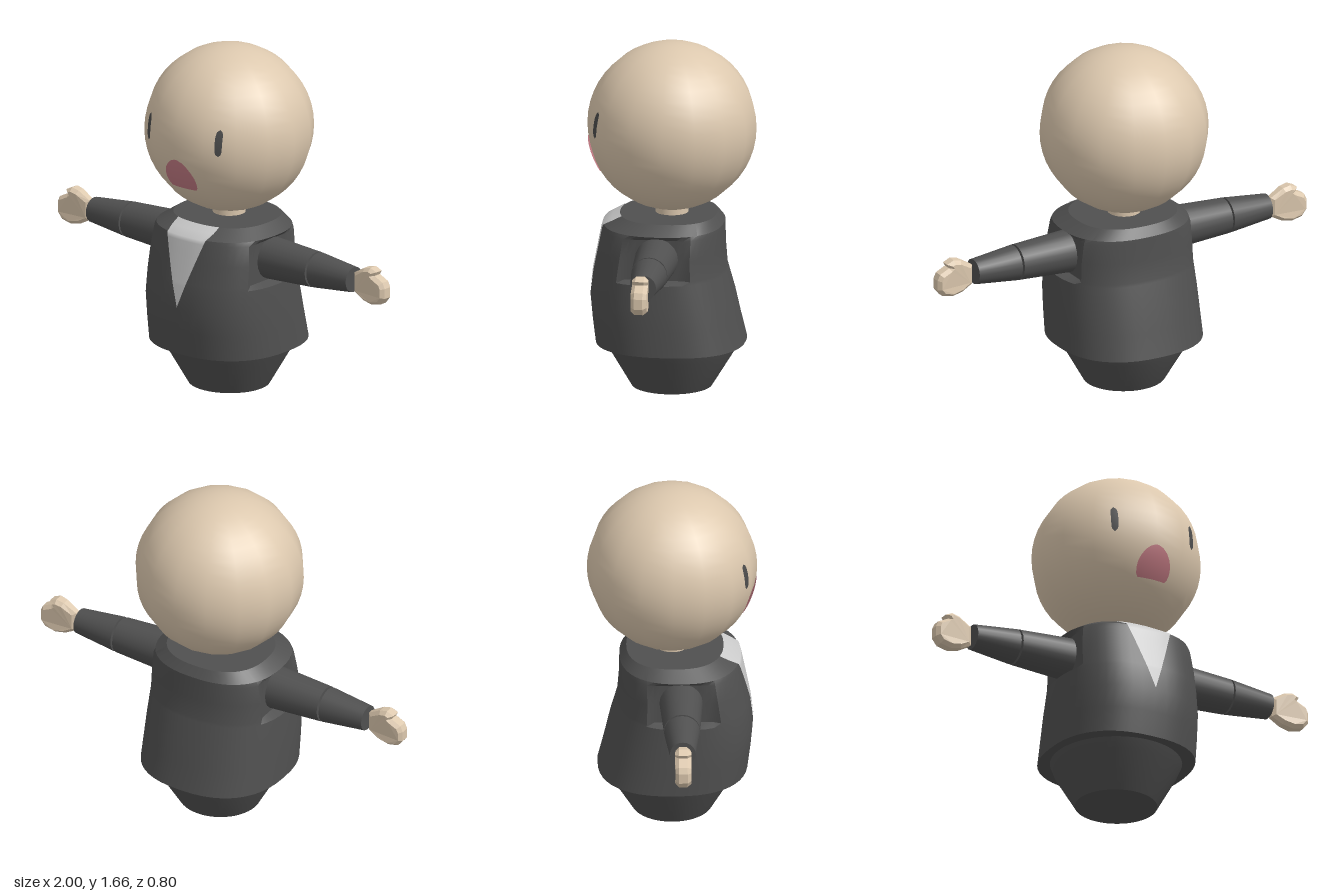
import * as THREE from 'three';
import { toCreasedNormals } from 'three/addons/utils/BufferGeometryUtils.js';

const mat = (name, color, side = THREE.FrontSide) => {
  const m = new THREE.MeshStandardMaterial({ color, side });
  m.name = name;
  return m;
};

// Jacket cross-sections: y, half width, front z, back z
const JACKET = [
  [0.22, 0.355, 0.355, -0.35], [0.34, 0.353, 0.37, -0.32], [0.45, 0.35, 0.38, -0.295],
  [0.565, 0.343, 0.365, -0.262], [0.58, 0.342, 0.362, -0.258], [0.68, 0.337, 0.342, -0.25],
  [0.775, 0.325, 0.323, -0.248], [0.795, 0.315, 0.318, -0.247], [0.84, 0.25, 0.24, -0.215],
];
const TROUSERS = [
  [0, 0.195, 0.19, -0.19], [0.17, 0.29, 0.29, -0.295], [0.23, 0.315, 0.315, -0.315],
];
const POWER = 2.4; // slightly boxy ovals

function sectionAt(y) {
  let i = 0;
  while (i < JACKET.length - 2 && y > JACKET[i + 1][0]) i++;
  const a = JACKET[i], b = JACKET[i + 1];
  const t = (y - a[0]) / (b[0] - a[0]);
  return a.map((v, k) => v + (b[k] - v) * t);
}

// Closed body through oval cross-sections; adjust() may move each point
function loft(rows, power, adjust = () => {}) {
  const n = 48, pos = [], index = [];
  const e = 2 / power;
  for (const [y, rx, zf, zb] of rows) {
    for (let j = 0; j < n; j++) {
      const a = (j / n) * Math.PI * 2, c = Math.cos(a), s = Math.sin(a);
      const p = new THREE.Vector3(
        rx * Math.sign(c) * Math.abs(c) ** e, y,
        (zf + zb) / 2 + ((zf - zb) / 2) * Math.sign(s) * Math.abs(s) ** e);
      adjust(p);
      pos.push(p.x, p.y, p.z);
    }
  }
  for (let i = 0; i < rows.length - 1; i++) {
    for (let j = 0; j < n; j++) {
      const a = i * n + j, b = i * n + (j + 1) % n;
      index.push(a, a + n, b, b, a + n, b + n);
    }
  }
  // End caps
  const low = pos.length / 3, high = low + 1, top = (rows.length - 1) * n;
  pos.push(0, rows[0][0], 0, 0, rows[rows.length - 1][0], 0);
  for (let j = 0; j < n; j++) {
    const k = (j + 1) % n;
    index.push(low, j, k, high, top + k, top + j);
  }
  const g = new THREE.BufferGeometry();
  g.setAttribute('position', new THREE.Float32BufferAttribute(pos, 3));
  g.setIndex(index);
  return toCreasedNormals(g, 0.5);
}

// Thin painted patch: outline rows [y, half width] laid over surface z(x, y)
function patch(rows, cx, surface) {
  const n = 10, pos = [], index = [];
  rows.forEach(([y, w], i) => {
    for (let j = 0; j <= n; j++) {
      const x = cx + w * (2 * j / n - 1);
      pos.push(x, y, surface(x, y));
      if (i && j) {
        const d = i * (n + 1) + j, b = d - n - 1;
        index.push(b - 1, b, d, b - 1, d, d - 1);
      }
    }
  });
  const g = new THREE.BufferGeometry();
  g.setAttribute('position', new THREE.Float32BufferAttribute(pos, 3));
  g.setIndex(index);
  g.computeVertexNormals();
  return g;
}

export function createModel() {
  const skin = mat('skin', 0xdcc8ae);
  const cloth = mat('dark cloth', 0x505050);
  const shirtMat = mat('shirt', 0xcacaca, THREE.DoubleSide);
  const eyeMat = mat('eye', 0x4c4c4c, THREE.DoubleSide);
  const mouthMat = mat('mouth', 0xc47b84, THREE.DoubleSide);

  const model = new THREE.Group();
  model.name = 'figure';
  const add = (parent, name, geometry, material) => {
    const m = new THREE.Mesh(geometry, material);
    m.name = name;
    parent.add(m);
    return m;
  };

  // Lower body and jacket, flattened into sockets where the arms enter
  add(model, 'trousers', loft(TROUSERS, 2), cloth);
  add(model, 'jacket', loft(JACKET, POWER, p => {
    if (p.y > 0.57 && p.y < 0.79 && p.z > -0.11 && p.z < 0.2) {
      p.x = THREE.MathUtils.clamp(p.x, -0.29, 0.29);
    }
  }), cloth);

  // Shirt front: a V lying on the jacket
  const shirtRows = [0.46, 0.5, 0.565, 0.58, 0.63, 0.68, 0.73, 0.775, 0.795, 0.82, 0.842]
    .map(y => [y, 0.125 * Math.min(1, (y - 0.46) / 0.36)]);
  add(model, 'shirt', patch(shirtRows, 0, (x, y) => {
    const [, rx, zf, zb] = sectionAt(y);
    const k = (1 - Math.abs(x / rx) ** POWER) ** (1 / POWER);
    return (zf + zb) / 2 + ((zf - zb) / 2) * k + 0.005;
  }), shirtMat);

  // Neck and head
  add(model, 'neck', new THREE.CylinderGeometry(0.078, 0.078, 0.09, 24), skin)
    .position.y = 0.865;
  add(model, 'head', new THREE.SphereGeometry(0.4, 16, 24), skin).position.y = 1.26;

  // Face
  const onHead = (x, y) => Math.sqrt(0.402 ** 2 - x * x - (y - 1.26) ** 2);
  const eyeRows = [];
  for (let i = 0; i <= 12; i++) {
    const t = i / 6 - 1;
    eyeRows.push([1.305 + 0.065 * t, 0.015 * Math.sqrt(1 - t ** 4)]);
  }
  add(model, 'rightEye', patch(eyeRows, -0.2, onHead), eyeMat);
  add(model, 'leftEye', patch(eyeRows, 0.215, onHead), eyeMat);
  const mouthRows = [[1.04, 0.072], [1.055, 0.083], [1.08, 0.088], [1.11, 0.086],
    [1.14, 0.074], [1.165, 0.056], [1.185, 0.033], [1.195, 0.008]];
  add(model, 'mouth', patch(mouthRows, 0.003, onHead), mouthMat);

  // Mitten hand outline, fingers pointing outward and thumb up
  const bevel = 0.016;
  const outline = [[0.825, 0.64], [0.87, 0.616], [0.92, 0.606], [0.965, 0.616], [0.984, 0.64],
    [0.984, 0.68], [0.975, 0.7], [0.93, 0.722], [0.917, 0.733], [0.927, 0.748],
    [0.912, 0.754], [0.88, 0.747], [0.825, 0.715]];
  const handGeometry = () => {
    const g = new THREE.ExtrudeGeometry(
      new THREE.Shape(outline.map(p => new THREE.Vector2(...p))),
      { depth: 0.04, bevelThickness: 0.018, bevelSize: bevel, bevelSegments: 1 });
    g.translate(0, 0, 0.018);
    // Taper towards the wrist
    const p = g.attributes.position;
    for (let i = 0; i < p.count; i++) {
      const k = THREE.MathUtils.clamp(0.65 + (p.getX(i) - 0.81) * 4, 0.65, 1);
      p.setZ(i, 0.038 + (p.getZ(i) - 0.038) * k);
    }
    g.computeVertexNormals();
    return g;
  };

  // Arms: two separate tapered sleeves and a hand on each side
  for (const side of [1, -1]) {
    const arm = new THREE.Group();
    arm.name = side > 0 ? 'leftArm' : 'rightArm';
    const sleeve = (name, x0, x1, r0, r1) => {
      const g = new THREE.CylinderGeometry(r1, r0, x1 - x0, 20);
      g.rotateZ(-Math.PI / 2);
      add(arm, name, g, cloth).position.set((x0 + x1) / 2, 0.682, 0.038);
    };
    sleeve('upperSleeve', 0.27, 0.565, 0.103, 0.086);
    sleeve('lowerSleeve', 0.575, 0.795, 0.085, 0.061);
    add(arm, 'hand', handGeometry(), skin);
    if (side < 0) arm.scale.x = -1;
    model.add(arm);
  }
  return model;
}
